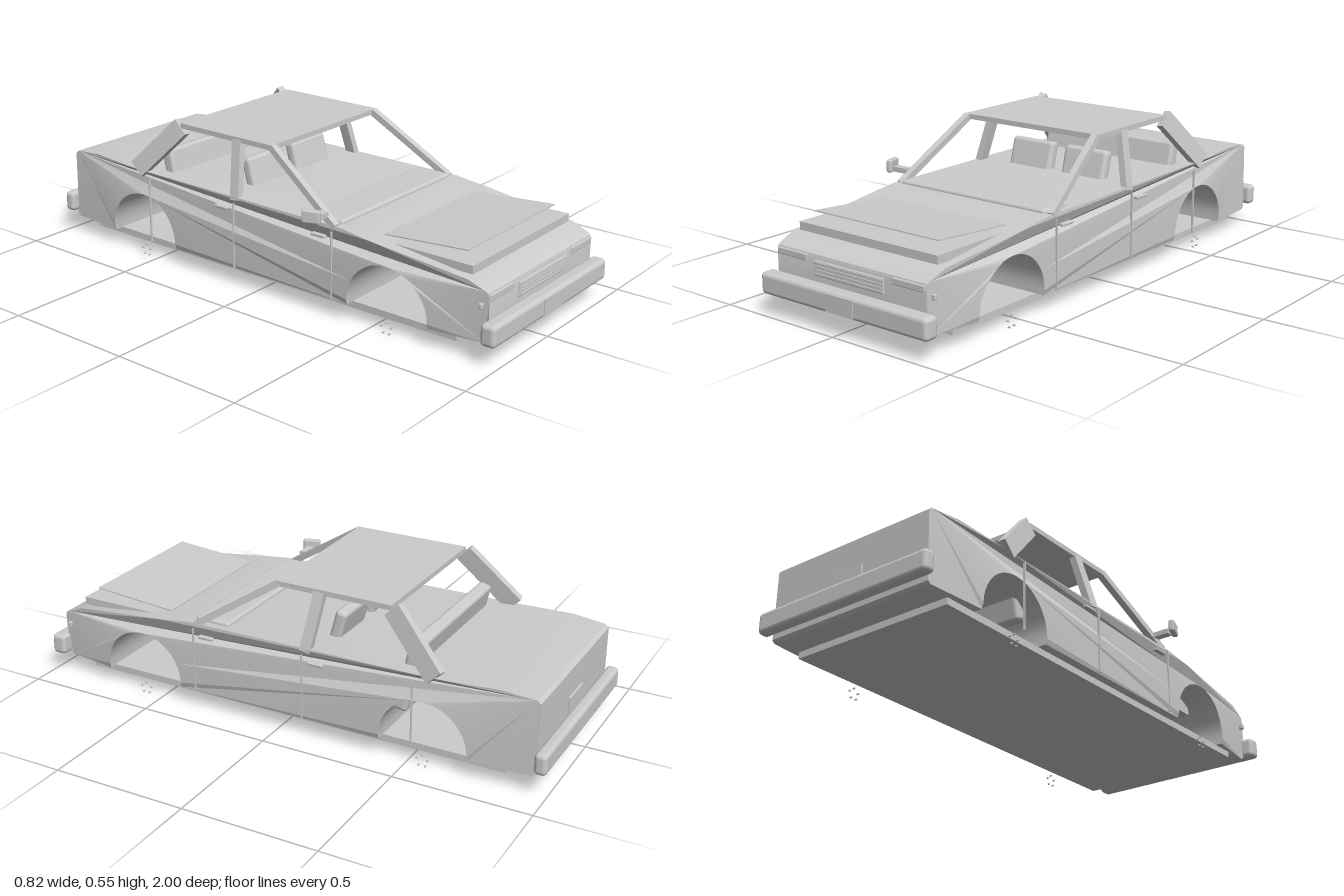
import * as THREE from 'three';
import { toCreasedNormals } from 'three/addons/utils/BufferGeometryUtils.js';
import { RoundedBoxGeometry } from 'three/addons/geometries/RoundedBoxGeometry.js';

export function createModel() {
  const model = new THREE.Group();
  const car = new THREE.Group();
  car.name = 'car';
  car.position.x = 0.033; // the single door mirror makes the car off-centre
  model.add(car);

  const grey = new THREE.MeshStandardMaterial({ color: 0xcccccc });
  grey.name = 'plain grey';

  function add(name, geometry, x = 0, y = 0, z = 0) {
    const mesh = new THREE.Mesh(geometry, grey);
    mesh.name = name;
    mesh.position.set(x, y, z);
    car.add(mesh);
    return mesh;
  }
  // Box given by its extents, optionally rounded
  function box(name, x0, x1, y0, y1, z0, z1, r = 0) {
    const w = x1 - x0, h = y1 - y0, d = z1 - z0;
    const g = r ? new RoundedBoxGeometry(w, h, d, 3, r) : new THREE.BoxGeometry(w, h, d);
    return add(name, g, (x0 + x1) / 2, (y0 + y1) / 2, (z0 + z1) / 2);
  }
  // Box stretched between two points
  function beam(name, a, b, wide, deep, r = 0) {
    const A = new THREE.Vector3(...a), B = new THREE.Vector3(...b);
    const Y = B.clone().sub(A), len = Y.length();
    Y.normalize();
    const X = new THREE.Vector3(1, 0, 0).addScaledVector(Y, -Y.x).normalize();
    const Z = X.clone().cross(Y);
    const g = r ? new RoundedBoxGeometry(wide, len, deep, 3, r) : new THREE.BoxGeometry(wide, len, deep);
    const mesh = add(name, g, ...A.add(B).multiplyScalar(0.5).toArray());
    mesh.quaternion.setFromRotationMatrix(new THREE.Matrix4().makeBasis(X, Y, Z));
  }

  // Body: side profile with wheel arches, extruded across and tapered
  const axles = [0.572, -0.56];
  const bottom = 0.066, archR = 0.163;
  const halfWidth = (y, z) => {
    let w = 0.367;
    if (y > 0.25) w -= (y - 0.25) * 0.16;
    if (y < 0.08) w -= 0.006;
    if (z > 0.68) w -= (z - 0.68) * 0.13;
    if (z < -0.7) w -= (-0.7 - z) * 0.07;
    return w;
  };
  const s = new THREE.Shape();
  s.moveTo(-0.955, bottom + 0.01);
  s.lineTo(-0.945, bottom);
  for (const c of [...axles].reverse()) {
    s.lineTo(c - archR, bottom);
    for (let i = 0; i <= 20; i++) {
      const t = Math.PI * (1 - i / 20);
      s.lineTo(c + archR * Math.cos(t), 0.085 + archR * Math.sin(t));
    }
    s.lineTo(c + archR, bottom);
  }
  const upper = [[0.935, bottom], [0.95, 0.085], [0.95, 0.225], [0.945, 0.242], [0.935, 0.248],
    [0.87, 0.274], [0.5, 0.316], [0.37, 0.332], [-0.6, 0.337], [-0.82, 0.347], [-0.945, 0.336], [-0.957, 0.325]];
  upper.forEach(p => s.lineTo(...p));
  s.closePath();
  const bodyGeo = new THREE.ExtrudeGeometry(s, { depth: 1, bevelEnabled: false });
  bodyGeo.translate(0, 0, -0.5).rotateY(-Math.PI / 2);
  const p = bodyGeo.attributes.position;
  for (let i = 0; i < p.count; i++) {
    p.setX(i, Math.sign(p.getX(i)) * halfWidth(p.getY(i), p.getZ(i)));
  }
  bodyGeo.computeVertexNormals();
  add('body', toCreasedNormals(bodyGeo, 0.3));
  box('floorPan', -0.328, 0.328, 0.042, 0.067, -0.85, 0.83);
  box('engineBay', -0.25, 0.25, 0.19, 0.255, 0.45, 0.67);

  // Bonnet block and the thin raised panel above it
  box('bonnetBlock', -0.308, 0.308, 0.28, 0.309, 0.48, 0.87);
  beam('bonnetPanel', [0, 0.317, 0.5], [0, 0.342, 0.83], 0.552, 0.004);
  box('cowl', -0.325, 0.325, 0.305, 0.346, 0.22, 0.36, 0.012);

  // Roof, pillars
  box('roof', -0.305, 0.305, 0.522, 0.541, -0.41, 0.03);
  for (const m of [-1, 1]) {
    beam('windscreenPillar', [m * 0.343, 0.325, 0.345], [m * 0.293, 0.532, 0.025], 0.026, 0.024);
    beam('middlePillar', [m * 0.343, 0.32, -0.105], [m * 0.293, 0.53, -0.135], 0.026, 0.04);
    beam('rearPillar', [m * 0.348, 0.338, -0.595], [m * 0.293, 0.525, -0.412], 0.03, 0.07);
  }

  // Seats
  for (const x of [-0.123, 0.123]) {
    beam('frontSeat', [x, 0.19, -0.11], [x, 0.432, -0.175], 0.192, 0.045, 0.016);
  }
  beam('rearSeat', [0, 0.155, -0.44], [0, 0.42, -0.5], 0.595, 0.05, 0.014);

  // Bumpers and number plates
  box('frontBumper', -0.372, 0.372, 0.075, 0.153, 0.94, 0.997, 0.016);
  box('rearBumper', -0.372, 0.372, 0.087, 0.165, -1, -0.955, 0.016);
  box('frontPlate', -0.062, 0.062, 0.083, 0.144, 0.994, 1);
  box('rearPlate', -0.062, 0.062, 0.168, 0.225, -0.965, -0.955);

  // Grille with slats, and lamps
  box('grille', -0.155, 0.155, 0.172, 0.226, 0.945, 0.955, 0.004);
  for (let i = 0; i < 4; i++) {
    const y = 0.18 + i * 0.0125;
    box('grilleSlat', -0.148, 0.148, y, y + 0.004, 0.952, 0.959);
  }
  for (const m of [-1, 1]) {
    const x = m * 0.259;
    box('headlamp', x - 0.069, x + 0.069, 0.214, 0.238, 0.945, 0.954, 0.004);
    box('sideMarker', m * 0.342 - 0.008, m * 0.342 + 0.008, 0.188, 0.208, 0.918, 0.932, 0.003);

    // Door seams and handles
    for (const z of [0.345, -0.1, -0.52]) {
      box('doorSeam', m * 0.367 - 0.004, m * 0.367 + 0.004, 0.068, 0.316, z - 0.002, z + 0.002);
    }
    for (const z of [0.29, -0.155]) {
      box('doorHandle', m * 0.367 - 0.009, m * 0.367 + 0.009, 0.286, 0.297, z - 0.03, z + 0.03, 0.004);
    }

    // Five small wheel bolts at each axle end
    for (const c of axles) {
      for (let i = 0; i < 5; i++) {
        const t = Math.PI / 2 + i * Math.PI * 0.4;
        const bolt = add('wheelBolt', new THREE.CylinderGeometry(0.0035, 0.0035, 0.008, 6),
          m * 0.357, 0.0215 + 0.021 * Math.sin(t), c + 0.021 * Math.cos(t));
        bolt.rotation.z = Math.PI / 2;
      }
    }
  }

  // Door mirror on the right side
  box('mirrorStem', -0.41, -0.345, 0.355, 0.374, 0.285, 0.315);
  const mirror = box('mirrorHead', -0.434, -0.412, 0.353, 0.4, 0.27, 0.336, 0.007);
  mirror.position.x = -0.423;
  mirror.rotation.y = 0.33;

  return model;
}
